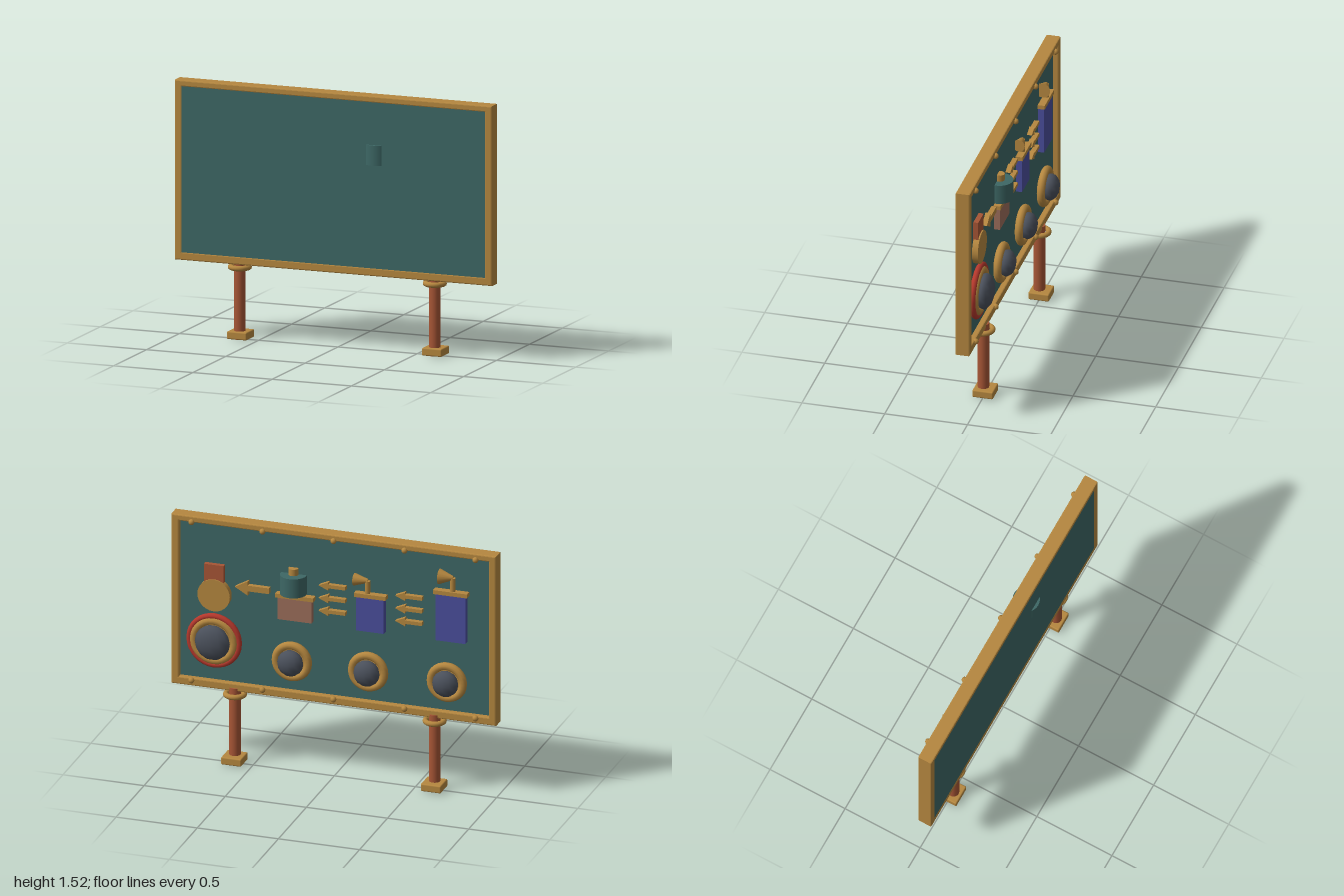
import * as THREE from 'three';
import { RoundedBoxGeometry } from 'three/addons/geometries/RoundedBoxGeometry.js';

const mat = (name, color) => Object.assign(new THREE.MeshStandardMaterial({ color }), { name });

export function createModel() {
  const root = new THREE.Group();
  root.name = 'signBoard';
  const brass = mat('brass', 0xb5873f);
  const teal = mat('teal', 0x3d6765);
  const copper = mat('copper', 0xa65535);
  const red = mat('red', 0xb5382c);
  const blue = mat('blue', 0x4a4e9c);
  const brown = mat('brown', 0x9b6d5a);
  const slate = mat('slate', 0x4a505b);

  const add = (name, geo, material, x, y, z, parent = root) => {
    const m = new THREE.Mesh(geo, material);
    m.name = name;
    m.position.set(x, y, z);
    parent.add(m);
    return m;
  };
  const BACK = 0.02; // rear surface of the recessed panel

  // Bevelled frame with the panel set into it
  const rect = (P, x, y0, y1) => {
    const p = new P();
    p.moveTo(-x, y0); p.lineTo(x, y0); p.lineTo(x, y1); p.lineTo(-x, y1);
    p.closePath();
    return p;
  };
  const b = 0.007;
  const frameShape = rect(THREE.Shape, 1 - b, 0.455 + b, 1.525 - b);
  frameShape.holes.push(rect(THREE.Path, 0.954 + b, 0.503 - b, 1.487 + b));
  add('frame', new THREE.ExtrudeGeometry(frameShape, {
    depth: 0.088 - 2 * b, bevelEnabled: true, bevelThickness: b, bevelSize: b, bevelSegments: 2,
  }), brass, 0, 0, -0.014 + b);
  add('panel', new THREE.BoxGeometry(1.93, 1.005, 0.052), teal, 0, 0.995, BACK + 0.026);

  // Rivets along the back of the frame
  for (const x of [-0.875, -0.4375, 0, 0.4375, 0.875])
    for (const y of [0.49, 1.49])
      add('rivet', new THREE.SphereGeometry(0.018, 12, 8), brass, x, y, -0.016);

  // Legs with collars and feet
  for (const x of [-0.615, 0.615]) {
    add('leg', new THREE.CylinderGeometry(0.034, 0.034, 0.475, 16), copper, x, 0.2375, 0.009);
    add('collar', new THREE.TorusGeometry(0.055, 0.016, 10, 24), brass, x, 0.43, 0.009)
      .rotation.x = Math.PI / 2;
    add('foot', new RoundedBoxGeometry(0.125, 0.047, 0.125, 2, 0.008), brass, x, 0.0275, -0.002);
  }

  // Domed dials along the lower back
  const dial = (x, y, ringR, tube, domeR) => {
    const g = new THREE.Group();
    g.name = 'dial';
    g.position.set(x, y, 0);
    root.add(g);
    add('dialRing', new THREE.TorusGeometry(ringR, tube, 10, 28), brass, 0, 0, -0.005, g);
    add('dialPlate', new THREE.CylinderGeometry(ringR, ringR, 0.03, 28), brass, 0, 0, 0.008, g)
      .rotation.x = Math.PI / 2;
    add('dome', new THREE.SphereGeometry(domeR, 12, 8), slate, 0, 0, -0.035, g).scale.z = 0.055 / domeR;
    return g;
  };
  for (const x of [-0.695, -0.21, 0.26]) dial(x, 0.69, 0.1, 0.024, 0.08);
  const big = dial(0.74, 0.755, 0.125, 0.023, 0.108);
  add('redRing', new THREE.TorusGeometry(0.153, 0.018, 10, 32), red, 0, 0, 0, big);

  // Medal on a ribbon
  add('ribbon', new THREE.BoxGeometry(0.12, 0.16, 0.03), copper, 0.74, 1.155, 0.005);
  add('medal', new THREE.CylinderGeometry(0.1, 0.1, 0.036, 24), brass, 0.738, 1.045, 0.0)
    .rotation.x = Math.PI / 2;

  // Plaques, each with a header bar
  const plaque = (x, y0, y1, w, material) => {
    add('plaque', new THREE.BoxGeometry(w, y1 - y0, 0.036), material, x, (y0 + y1) / 2, 0.002);
    add('headerBar', new THREE.BoxGeometry(w + 0.025, 0.025, 0.045), brass, x, y1, 0);
  };
  plaque(0.24, 0.95, 1.1, 0.21, brown);
  plaque(-0.225, 0.945, 1.17, 0.17, blue);
  plaque(-0.72, 0.95, 1.255, 0.185, blue);

  // Drum with a cap
  add('drum', new THREE.CylinderGeometry(0.08, 0.08, 0.12, 24), teal, 0.255, 1.175, 0.01);
  add('drumCap', new THREE.CylinderGeometry(0.03, 0.03, 0.04, 16), brass, 0.255, 1.255, 0.01);

  // Horns on posts, flaring toward the left
  const horn = (x, y, r) => {
    add('hornPost', new THREE.CylinderGeometry(0.016, 0.016, 0.09, 12), brass, x, y - 0.045, 0);
    add('horn', new THREE.CylinderGeometry(0.012, r, 0.085, 16), brass, x + 0.04, y, 0)
      .rotation.z = Math.PI / 2;
  };
  horn(-0.205, 1.26, 0.038);
  horn(-0.73, 1.35, 0.047);

  // Flow arrows pointing left
  const arrow = (x, y, len, headLen, headH, shaftH) => {
    const h = len / 2, n = h - headLen;
    const s = new THREE.Shape([
      [-h, -shaftH], [n, -shaftH], [n, -headH], [h, 0], [n, headH], [n, shaftH], [-h, shaftH],
    ].map(([px, py]) => new THREE.Vector2(px, py)));
    add('arrow', new THREE.ExtrudeGeometry(s, { depth: 0.03, bevelEnabled: false }), brass, x, y, BACK - 0.03);
  };
  arrow(0.505, 1.115, 0.21, 0.08, 0.045, 0.018);
  for (const x of [0.012, -0.46])
    for (const y of [1.035, 1.115, 1.195]) arrow(x, y, 0.165, 0.06, 0.026, 0.011);

  return root;
}
